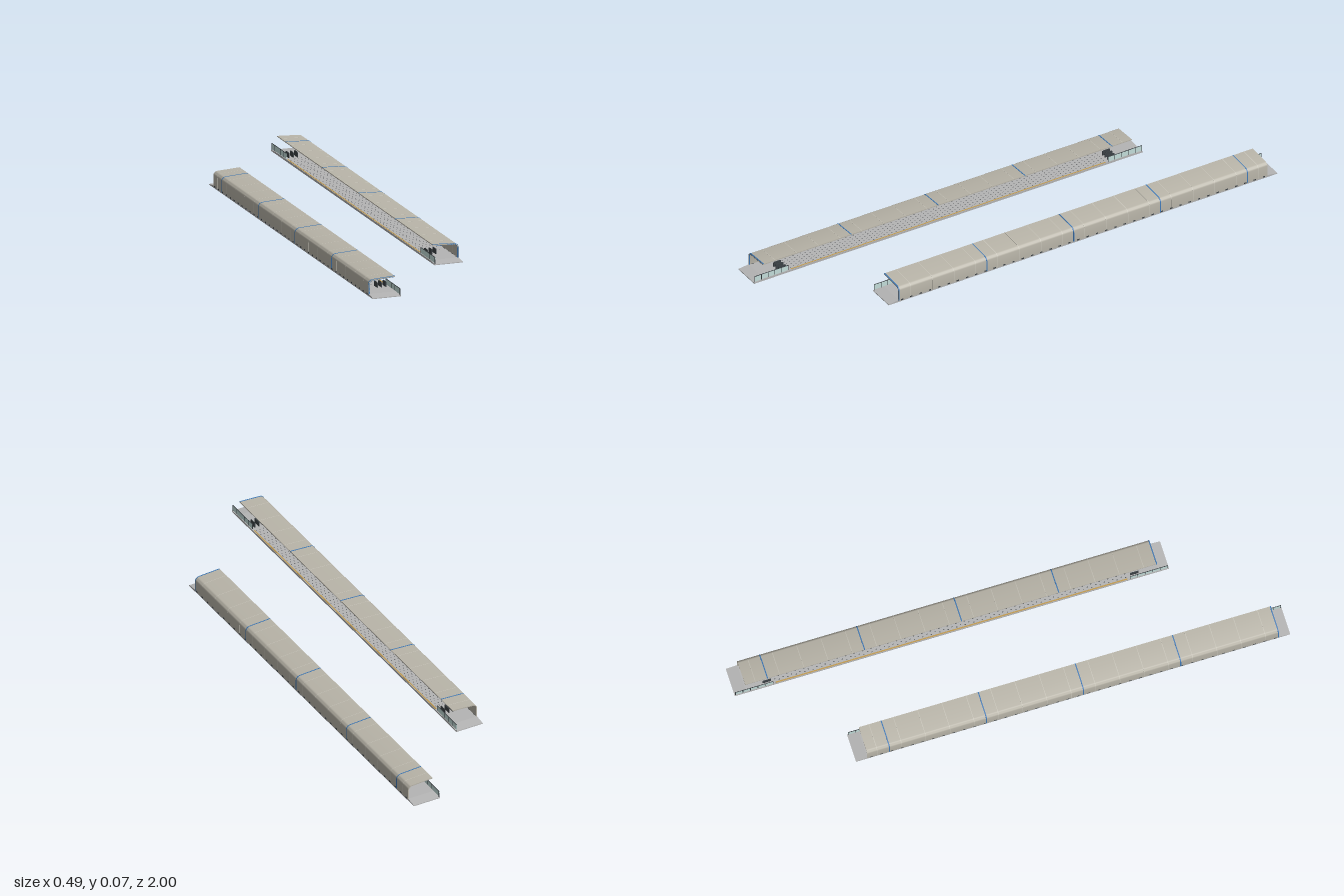
import * as THREE from 'three';
import { mergeGeometries, toCreasedNormals } from 'three/addons/utils/BufferGeometryUtils.js';

const mat = (color, side = THREE.FrontSide) => new THREE.MeshStandardMaterial({ color, side });
const MATS = {
  grey: mat(0xcccccc), floor: mat(0xb4b4b4), roof: mat(0xb8b4a8), seam: mat(0xc6c3b8), blue: mat(0x3f78b5),
  dark: mat(0x3c4246), yellow: mat(0xc09a50), glass: mat(0xc4dedb), dot: mat(0x55585a, THREE.DoubleSide),
};
const OUTER = 0.242, WIDTH = 0.11, FLOOR = 0.008, HALF = 0.8275, BODY = 0.785;

// One open-sided platform; side = -1 or 1 gives the sign of x of its closed wall.
function platform(side, zMid) {
  const g = new THREE.Group();
  g.name = side < 0 ? 'rightPlatform' : 'leftPlatform';
  g.position.z = zMid;
  const X = (u) => side * (OUTER - u); // u runs from the wall to the track edge

  const add = (name, geo, m) => {
    const mesh = new THREE.Mesh(geo, MATS[m]);
    mesh.name = name;
    g.add(mesh);
  };
  const box = (u0, u1, y0, y1, z0, z1) => new THREE.BoxGeometry(u1 - u0, y1 - y0, z1 - z0)
    .translate(X((u0 + u1) / 2), (y0 + y1) / 2, (z0 + z1) / 2);
  const addBoxes = (name, list, m) => add(name, mergeGeometries(list.map((b) => box(...b))), m);

  // Canopy section: wall, rounded shoulder and gently rising roof
  const section = (out, thick, z0, z1) => {
    const line = (d) => {
      const r = 0.017 - d;
      const pts = [[d, FLOOR - 0.003], [d, 0.045]];
      for (let i = 1; i <= 8; i++) {
        const a = (i / 8) * (Math.PI / 2 - 0.05);
        pts.push([0.017 - r * Math.cos(a), 0.045 + r * Math.sin(a)]);
      }
      pts.push([0.102, 0.0667 - d]);
      return pts;
    };
    const pts = [...line(-out), ...line(thick).reverse()];
    const shape = new THREE.Shape(pts.map(([u, y]) => new THREE.Vector2(X(u), y)));
    const geo = new THREE.ExtrudeGeometry(shape, { depth: z1 - z0, bevelEnabled: false });
    return toCreasedNormals(geo.translate(0, 0, z0), 0.5);
  };
  add('canopy', section(0, 0.0035, -BODY, BODY), 'roof');

  // Pale panel joints and blue ribs
  const joints = [], ribs = [];
  for (let i = 0; i < 17; i++) {
    const z = -0.70 + (i - 0.5) * 0.0925;
    if (z < BODY) joints.push(section(0.0002, 0.0036, z - 0.001, z + 0.001));
  }
  for (const z of [-0.70, -0.33, 0.04, 0.41, 0.783]) ribs.push(section(0.0006, 0.0045, z - 0.002, z + 0.002));
  add('panelJoints', mergeGeometries(joints), 'seam');
  add('ribs', mergeGeometries(ribs), 'blue');

  // Floor slab with a short ramp at each end
  const deck = new THREE.Shape([[-HALF, 0], [HALF, 0], [HALF, 0.003], [BODY, FLOOR], [-BODY, FLOOR], [-HALF, 0.003]]
    .map(([z, y]) => new THREE.Vector2(-z, y)));
  const slab = new THREE.ExtrudeGeometry(deck, { depth: WIDTH, bevelEnabled: false });
  slab.rotateY(Math.PI / 2).translate(side > 0 ? OUTER - WIDTH : -OUTER, 0, 0);
  add('floorSlab', slab, 'floor');
  addBoxes('edgeStrip', [[0.103, 0.108, FLOOR, FLOOR + 0.0005, -0.67, 0.67]], 'yellow');

  // Floor studs in staggered rows
  const studs = [];
  for (let i = 0; i < 84; i++) {
    for (let j = 0; j < 6; j++) {
      studs.push(new THREE.PlaneGeometry(0.003, 0.005).rotateX(-Math.PI / 2)
        .translate(X(0.022 + j * 0.014 + (i % 2) * 0.006), FLOOR + 0.0003, -0.67 + i * 0.0161));
    }
  }
  add('floorStuds', mergeGeometries(studs), 'dot');

  // Wall feet
  const feet = [];
  for (let i = 0; i < 40; i++) {
    const z = -0.77 + i * 0.0395;
    feet.push([-0.0005, 0.005, 0.004, 0.009, z - 0.005, z + 0.005]);
  }
  addBoxes('wallFeet', feet, 'dark');

  // Benches and wall boards
  const benches = [], boards = [];
  for (const z of [-0.515, -0.145, 0.225, 0.5]) {
    benches.push([0.016, 0.028, 0.016, 0.018, z - 0.035, z + 0.035]);
    benches.push([0.016, 0.0175, 0.018, 0.029, z - 0.035, z + 0.035]);
    for (const d of [-0.025, 0.025]) benches.push([0.021, 0.023, FLOOR, 0.016, z + d - 0.001, z + d + 0.001]);
  }
  for (const z of [-0.42, -0.05, 0.32, 0.62]) boards.push([0.003, 0.0055, 0.028, 0.048, z - 0.02, z + 0.02]);
  addBoxes('benches', benches, 'dark');
  addBoxes('wallBoards', boards, 'blue');

  // Hanging signs under the roof edge
  const signs = [], hangers = [];
  for (const z of [-0.54, 0, 0.54]) {
    signs.push([0.083, 0.085, 0.052, 0.059, z - 0.03, z + 0.03]);
    for (const d of [-0.02, 0.02]) hangers.push([0.0835, 0.0845, 0.058, 0.064, z + d - 0.0005, z + d + 0.0005]);
  }
  addBoxes('signs', signs, 'dark');
  addBoxes('signHangers', hangers, 'grey');

  // Ticket gates and glazed track-side fences at both ends
  const gates = [], glass = [], posts = [];
  for (const e of [-1, 1]) {
    for (const u of [0.061, 0.077, 0.094]) {
      gates.push([u - 0.0015, u + 0.0015, FLOOR, 0.026, e * 0.70 - 0.016, e * 0.70 + 0.016]);
      gates.push([u - 0.001, u + 0.001, 0.026, 0.028, e * 0.70 - 0.013, e * 0.70 + 0.013]);
    }
    const a = e < 0 ? -0.825 : 0.68, b = a + 0.145;
    glass.push([0.1065, 0.1075, 0.007, 0.028, a, b]);
    posts.push([0.106, 0.108, 0.028, 0.0295, a, b]);
    for (let i = 0; i <= 5; i++) {
      const z = a + i * 0.0286;
      posts.push([0.106, 0.108, 0.003, 0.029, z, z + 0.002]);
    }
  }
  addBoxes('ticketGates', gates, 'dark');
  addBoxes('fenceGlass', glass, 'glass');
  addBoxes('fencePosts', posts, 'dark');
  return g;
}

export function createModel() {
  const model = new THREE.Group();
  model.name = 'stationPlatforms';
  model.add(platform(-1, 0.1725), platform(1, -0.1725));
  return model;
}
